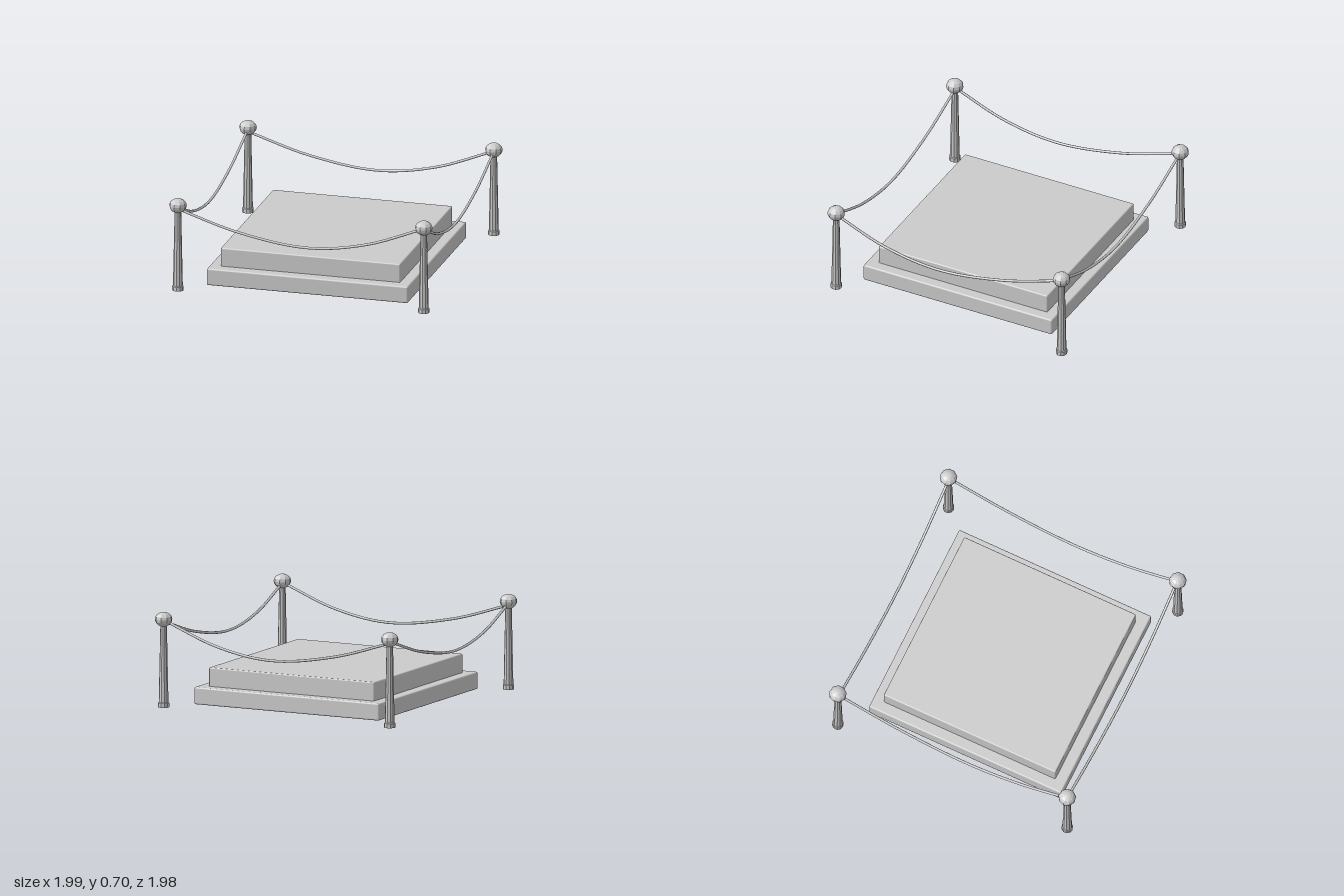
import * as THREE from 'three';
import { RoundedBoxGeometry } from 'three/addons/geometries/RoundedBoxGeometry.js';

const POST = 0.933;
const smooth = new THREE.MeshStandardMaterial({ color: 0xcccccc });
const faceted = new THREE.MeshStandardMaterial({ color: 0xcccccc, flatShading: true });

function add(parent, name, geometry, material) {
  const mesh = new THREE.Mesh(geometry, material);
  mesh.name = name;
  parent.add(mesh);
  return mesh;
}

// Softly rounded slab given by its minimum and maximum corners
function slab(parent, name, min, max, radius) {
  const size = max.map((v, i) => v - min[i]);
  add(parent, name, new RoundedBoxGeometry(...size, 2, radius), smooth)
    .position.set(...max.map((v, i) => (v + min[i]) / 2));
}

// Tapered post with a wider foot and a slightly flattened ball on top
function makePost(x, z) {
  const post = new THREE.Group();
  post.name = 'post';
  const profile = [[0, 0], [0.042, 0], [0.042, 0.032], [0.036, 0.037], [0.024, 0.62], [0, 0.62]]
    .map(([r, y]) => new THREE.Vector2(r, y));
  add(post, 'shaft', new THREE.LatheGeometry(profile, 10), faceted);
  const ball = add(post, 'ball', new THREE.SphereGeometry(0.065, 9, 8), faceted);
  ball.scale.y = 0.83;
  ball.position.y = 0.65;
  post.position.set(x, 0, z);
  return post;
}

// Sagging rope; place turns a (distance along, height) pair into a point
function addRope(parent, name, points, place) {
  const curve = new THREE.CatmullRomCurve3(points.map(([t, y]) => place(t, y)));
  add(parent, name, new THREE.TubeGeometry(curve, 32, 0.01, 8), smooth);
}

export function createModel() {
  const model = new THREE.Group();
  model.name = 'ropedPlinth';

  // Two-step plinth
  slab(model, 'lowerStep', [-0.755, 0.008, -0.768], [0.772, 0.136, 0.786], 0.012);
  slab(model, 'upperStep', [-0.673, 0.12, -0.688], [0.69, 0.276, 0.702], 0.01);

  // Corner posts
  for (const x of [-POST, POST]) {
    for (const z of [-POST, 0.923]) model.add(makePost(x, z));
  }

  // Ropes, with the lowest point a little off centre
  const across = [[-POST, 0.622], [-0.47, 0.483], [0.05, 0.413], [0.49, 0.478], [POST, 0.642]];
  const along = [[-POST, 0.635], [-0.43, 0.483], [0.09, 0.413], [0.52, 0.477], [0.923, 0.635]];
  addRope(model, 'frontRope', across, (t, y) => new THREE.Vector3(t, y, 0.92));
  addRope(model, 'backRope', across, (t, y) => new THREE.Vector3(t, y, -0.925));
  addRope(model, 'leftRope', along, (t, y) => new THREE.Vector3(POST, y, t));
  addRope(model, 'rightRope', along, (t, y) => new THREE.Vector3(-POST, y, t));

  return model;
}
